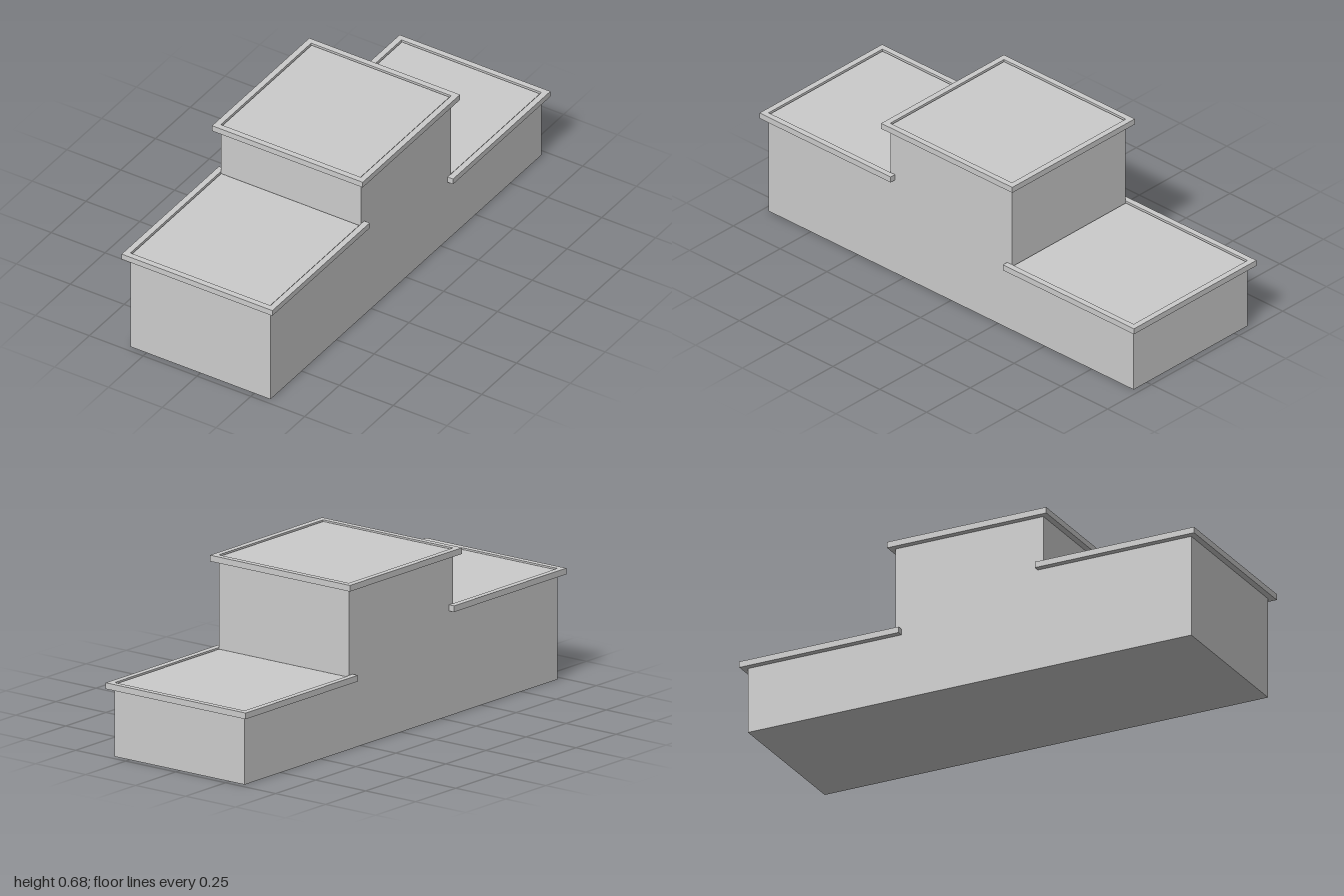
import * as THREE from 'three';

const material = new THREE.MeshStandardMaterial({ color: 0xcccccc, flatShading: true });

const OUTER = 0.7;    // rim width
const BODY = 0.65;    // block width
const PANEL = 0.64;   // standing surface width
const RIM_H = 0.025;
const RECESS = 0.005; // panel sits just below the rim

function square(PathType, size) {
  const h = size / 2;
  return new PathType().moveTo(-h, -h).lineTo(h, -h).lineTo(h, h).lineTo(-h, h).closePath();
}

function box(name, w, h, d, y, z) {
  const mesh = new THREE.Mesh(new THREE.BoxGeometry(w, h, d), material);
  mesh.name = name;
  mesh.position.set(0, y + h / 2, z);
  return mesh;
}

// Square frame overhanging the block
function rim(y, z) {
  const shape = square(THREE.Shape, OUTER);
  shape.holes.push(square(THREE.Path, BODY));
  const geometry = new THREE.ExtrudeGeometry(shape, { depth: RIM_H, bevelEnabled: false });
  geometry.rotateX(-Math.PI / 2);
  const mesh = new THREE.Mesh(geometry, material);
  mesh.name = 'rim';
  mesh.position.set(0, y, z);
  return mesh;
}

// One step: block, overhanging rim and inset standing panel
function step(name, top, z) {
  const group = new THREE.Group();
  group.name = name;
  const base = top - RIM_H;
  group.add(
    box('block', BODY, base, BODY, 0, z),
    rim(base, z),
    box('panel', PANEL, RIM_H - RECESS, PANEL, base, z)
  );
  return group;
}

export function createModel() {
  const model = new THREE.Group();
  model.name = 'podium';
  model.add(
    step('frontStep', 0.45, 0.65),
    step('middleStep', 0.675, 0),
    step('backStep', 0.3, -0.65)
  );
  return model;
}
